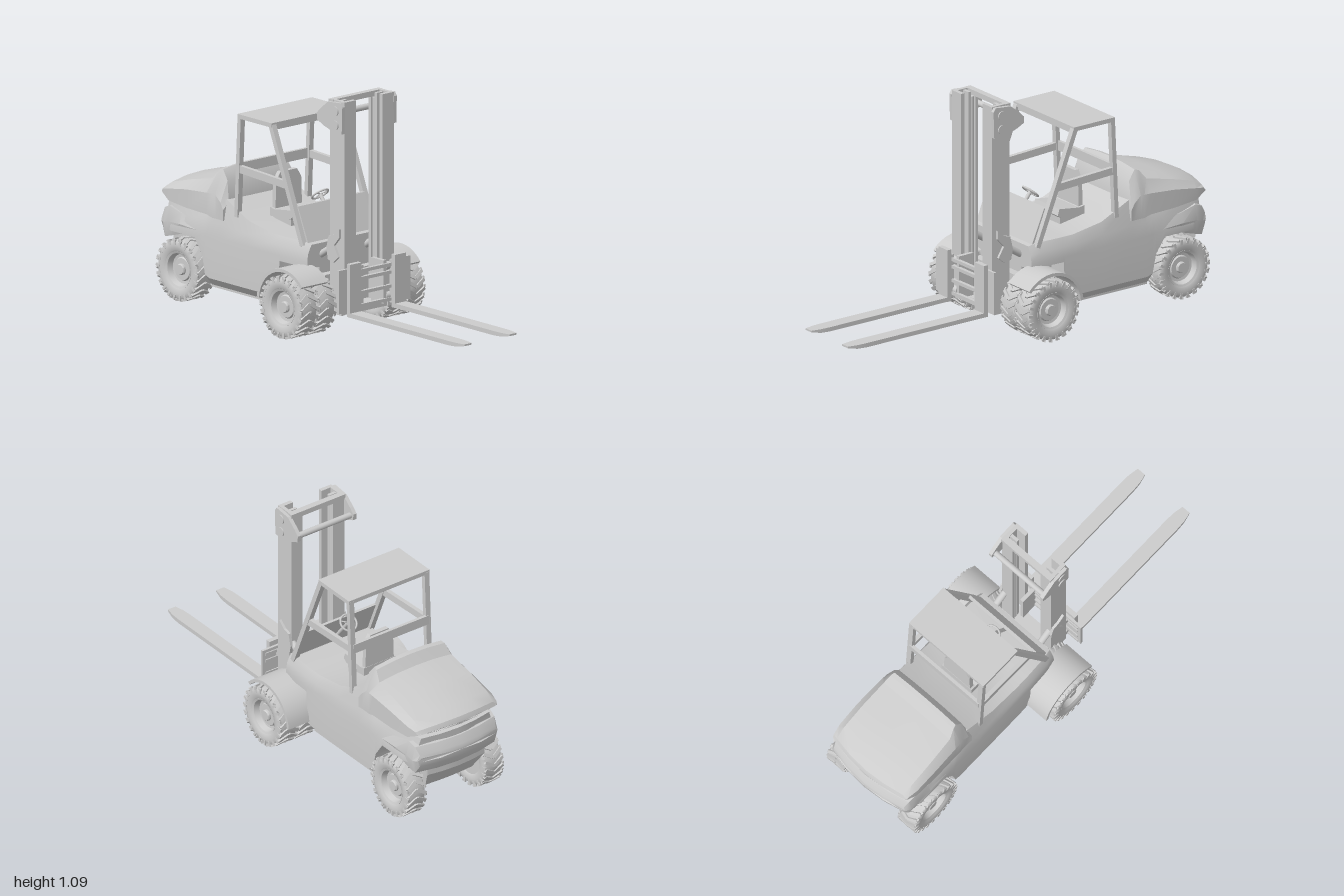
import * as THREE from 'three';
import { mergeGeometries, mergeVertices, toCreasedNormals } from 'three/addons/utils/BufferGeometryUtils.js';

const grey = new THREE.MeshStandardMaterial({ color: 0xcccccc, side: THREE.DoubleSide });

function add(parent, name, geometry) {
  const mesh = new THREE.Mesh(geometry, grey);
  mesh.name = name;
  parent.add(mesh);
  return mesh;
}

// Box given by its limits on each axis
function box(x0, x1, y0, y1, z0, z1) {
  return new THREE.BoxGeometry(x1 - x0, y1 - y0, z1 - z0)
    .translate((x0 + x1) / 2, (y0 + y1) / 2, (z0 + z1) / 2);
}

// Square or round bar between two points
function bar(a, b, w, h = w, round = false) {
  const p = new THREE.Vector3(...a), q = new THREE.Vector3(...b);
  const len = p.distanceTo(q);
  const g = round ? new THREE.CylinderGeometry(w, w, len, 16).rotateX(Math.PI / 2) : new THREE.BoxGeometry(w, h, len);
  const m = new THREE.Matrix4().lookAt(q, p, new THREE.Vector3(0, 1, 0.001));
  return g.applyMatrix4(m).translate(...p.add(q).multiplyScalar(0.5).toArray());
}

// Side profile of [z, y] points, extruded from x0 to x1
function plate(points, x0, x1) {
  const shape = new THREE.Shape(points.map(([z, y]) => new THREE.Vector2(-z, y)));
  return new THREE.ExtrudeGeometry(shape, { depth: x1 - x0, bevelEnabled: false, curveSegments: 20 })
    .rotateY(Math.PI / 2).translate(x0, 0, 0);
}

// Mirrored half-sections lofted from front to back; the tail is bowed outwards
function loft(sections, capY) {
  const rings = sections.map(({ z, half }) => {
    const other = half.slice(1, -1).reverse().map(([x, y]) => [-x, y]);
    return [...half, ...other].map(([x, y]) => {
      const k = THREE.MathUtils.smoothstep(-z, 0.8, 0.95);
      return [x, y, z - 0.04 * k * (1 - Math.min(1, (x / 0.24) ** 2))];
    });
  });
  const n = rings[0].length, pos = rings.flat(2), index = [];
  for (let i = 0; i < rings.length - 1; i++) for (let j = 0; j < n; j++) {
    const a = i * n + j, b = i * n + (j + 1) % n;
    index.push(a, b, a + n, b, b + n, a + n);
  }
  const last = (rings.length - 1) * n, c = rings.length * n;
  pos.push(0, capY[0], rings[0][0][2], 0, capY[1], rings.at(-1)[0][2]);
  for (let j = 0; j < n; j++) {
    const k = (j + 1) % n;
    index.push(c, k, j, c + 1, last + j, last + k);
  }
  const g = new THREE.BufferGeometry();
  g.setAttribute('position', new THREE.Float32BufferAttribute(pos, 3));
  g.setIndex(index);
  return toCreasedNormals(mergeVertices(g, 1e-5), 0.5);
}

// Wheel along x: tyre, chevron lugs, dished rim and hub
function wheel(name, x, z, side) {
  const w = 0.102, r = 0.145, group = new THREE.Group();
  group.name = name;
  const tyre = [[0.083, -0.4], [0.09, -0.46], [0.11, -0.5], [0.128, -0.48], [0.136, -0.4], [0.138, 0],
    [0.136, 0.4], [0.128, 0.48], [0.11, 0.5], [0.09, 0.46], [0.083, 0.4]];
  add(group, 'tyre', new THREE.LatheGeometry(tyre.map(([a, b]) => new THREE.Vector2(a, b * w)), 40).rotateZ(-Math.PI / 2));
  const lugs = [];
  for (let i = 0; i < 22; i++) for (const s of [-1, 1]) {
    lugs.push(new THREE.BoxGeometry(0.056, 0.012, 0.015).rotateY(s * 0.55)
      .translate(s * 0.024, r - 0.007, 0).rotateX((i / 22) * Math.PI * 2));
    lugs.push(new THREE.BoxGeometry(0.008, 0.026, 0.012)
      .translate(s * 0.048, r - 0.018, 0.017).rotateX((i / 22) * Math.PI * 2));
  }
  add(group, 'treadLugs', mergeGeometries(lugs));
  const rim = [[0, 0.34], [0.022, 0.34], [0.026, 0.28], [0.026, 0.2], [0.05, 0.2], [0.055, 0.12], [0.068, 0.14],
    [0.076, 0.4], [0.086, 0.44], [0.086, -0.42], [0, -0.42]];
  const rimGeo = new THREE.LatheGeometry(rim.map(([a, b]) => new THREE.Vector2(a, b * w)), 32).rotateZ(-Math.PI / 2);
  add(group, 'rim', toCreasedNormals(rimGeo, 0.5));
  group.rotation.y = side < 0 ? Math.PI : 0;
  group.position.set(side * x, r, z);
  return group;
}

export function createModel() {
  const model = new THREE.Group();
  model.name = 'forkliftTruck';

  // Main body: z, top, top half-width, shoulder y, shoulder x, side x, sill y, inner x, inner y, bottom
  const body = [
    [0.02, 0.41, 0.2, 0.37, 0.22, 0.225, 0.31, 0.15, 0.3, 0.1],
    [-0.03, 0.42, 0.21, 0.38, 0.23, 0.235, 0.31, 0.15, 0.3, 0.1],
    [-0.15, 0.42, 0.215, 0.38, 0.235, 0.24, 0.31, 0.15, 0.3, 0.09],
    [-0.16, 0.42, 0.215, 0.38, 0.235, 0.24, 0.15, 0.2, 0.1, 0.09],
    [-0.22, 0.42, 0.215, 0.38, 0.235, 0.24, 0.14, 0.2, 0.1, 0.09],
    [-0.38, 0.445, 0.215, 0.39, 0.232, 0.24, 0.14, 0.2, 0.1, 0.09],
    [-0.54, 0.515, 0.21, 0.4, 0.232, 0.24, 0.14, 0.2, 0.1, 0.09],
    [-0.62, 0.47, 0.21, 0.4, 0.232, 0.24, 0.14, 0.2, 0.1, 0.09],
    [-0.65, 0.45, 0.21, 0.4, 0.232, 0.24, 0.15, 0.2, 0.1, 0.09],
    [-0.67, 0.45, 0.21, 0.4, 0.23, 0.24, 0.24, 0.13, 0.23, 0.1],
    [-0.72, 0.45, 0.21, 0.4, 0.23, 0.24, 0.31, 0.12, 0.3, 0.11],
    [-0.88, 0.45, 0.21, 0.4, 0.22, 0.24, 0.31, 0.13, 0.29, 0.15],
    [-0.93, 0.44, 0.19, 0.41, 0.2, 0.215, 0.31, 0.16, 0.3, 0.24],
  ].map(([z, t, tw, sy, sx, x, oy, ix, iy, b]) => ({ z, half: [[0, t], [tw / 2, t], [tw, t], [sx, sy], [x, 0.335],
    [x, oy], [ix, iy], [ix, b], [ix / 2, b], [0, b]] }));
  add(model, 'body', loft(body, [0.36, 0.36]));

  // Engine hood: z, top, crown half-width, side y, side x, bottom
  const hood = [
    [-0.535, 0.515, 0.2, 0.47, 0.235, 0.42], [-0.555, 0.61, 0.19, 0.5, 0.232, 0.42],
    [-0.59, 0.655, 0.185, 0.53, 0.232, 0.42], [-0.61, 0.65, 0.19, 0.53, 0.233, 0.42],
    [-0.645, 0.605, 0.2, 0.53, 0.235, 0.43], [-0.78, 0.575, 0.205, 0.52, 0.238, 0.435],
    [-0.9, 0.54, 0.205, 0.5, 0.235, 0.445], [-0.945, 0.51, 0.2, 0.49, 0.225, 0.47],
    [-0.955, 0.49, 0.2, 0.485, 0.222, 0.478],
  ].map(([z, t, tw, sy, sx, b]) => ({ z, half: [[0, t], [tw / 2, t - 0.003], [tw, t - 0.014], [sx, Math.min(sy, t - 0.015)],
    [sx, b], [sx / 2, b], [0, b]] }));
  add(model, 'engineHood', loft(hood, [0.47, 0.484]));

  // Rear counterweight bumper: z, top, half-width, bottom
  const bumper = [[-0.7, 0.38, 0.238, 0.31], [-0.82, 0.4, 0.242, 0.305], [-0.9, 0.42, 0.24, 0.28],
    [-0.935, 0.405, 0.235, 0.27], [-0.955, 0.37, 0.225, 0.31], [-0.96, 0.355, 0.22, 0.335],
  ].map(([z, t, x, b]) => ({ z, half: [[0, t], [x / 2, t], [x * 0.94, t], [x, (t + b) / 2], [x * 0.94, b], [x / 2, b], [0, b]] }));
  add(model, 'rearBumper', loft(bumper, [0.345, 0.345]));

  // Front axle housing and axles
  add(model, 'axleHousing', box(-0.155, 0.155, 0.09, 0.27, -0.05, 0.06));
  for (const [name, z, x] of [['frontAxle', 0.005, 0.28], ['rearAxle', -0.81, 0.2]])
    add(model, name, bar([-x, 0.145, z], [x, 0.145, z], 0.03, 0, true));

  // Cab: sloped front panel, seat, steering wheel
  const cab = new THREE.Group();
  cab.name = 'cab';
  model.add(cab);
  add(cab, 'frontPanel', plate([[0.0, 0.41], [-0.02, 0.41], [-0.085, 0.57], [-0.07, 0.57]], -0.2, 0.2));
  add(cab, 'seatBase', box(-0.08, 0.08, 0.42, 0.465, -0.37, -0.25));
  add(cab, 'seatCushion', plate([[-0.23, 0.47], [-0.24, 0.5], [-0.35, 0.485], [-0.38, 0.49], [-0.38, 0.45], [-0.25, 0.455]], -0.09, 0.09));
  const back = new THREE.Shape([[-0.08, 0.47], [0.08, 0.47], [0.075, 0.61], [0.05, 0.65], [-0.05, 0.65], [-0.075, 0.61]]
    .map((p) => new THREE.Vector2(...p)));
  add(cab, 'seatBack', new THREE.ExtrudeGeometry(back, { depth: 0.022, bevelEnabled: false }).translate(0, 0, -0.378));
  const steering = new THREE.Group();
  steering.name = 'steeringWheel';
  steering.position.set(0, 0.58, -0.145);
  steering.rotation.x = -2.28;
  add(steering, 'steeringRim', new THREE.TorusGeometry(0.04, 0.005, 8, 28));
  for (let i = 0; i < 3; i++) add(steering, 'spoke', new THREE.BoxGeometry(0.006, 0.04, 0.004).translate(0, 0.02, 0).rotateZ(i * 2.094));
  cab.add(steering);
  add(cab, 'steeringColumn', bar([0, 0.58, -0.145], [0, 0.46, -0.05], 0.009, 0, true));

  // Overhead guard
  const guard = new THREE.Group();
  guard.name = 'overheadGuard';
  model.add(guard);
  add(guard, 'roof', box(-0.225, 0.225, 0.91, 0.93, -0.45, -0.22));
  add(guard, 'rearCrossbar', box(-0.21, 0.21, 0.655, 0.7, -0.465, -0.45));
  add(guard, 'roofLip', box(-0.21, 0.21, 0.895, 0.912, -0.245, -0.225));

  // Lift mast
  const mast = new THREE.Group();
  mast.name = 'mast';
  model.add(mast);
  add(mast, 'upperCrossbar', box(-0.15, 0.15, 1.065, 1.09, 0.08, 0.11));
  add(mast, 'topRod', bar([-0.15, 1, 0.04], [0.15, 1, 0.04], 0.014, 0, true));
  add(mast, 'lowerCrossbar', box(-0.14, 0.14, 0.1, 0.13, 0.08, 0.16));

  // Fork carriage
  const carriage = new THREE.Group();
  carriage.name = 'carriage';
  model.add(carriage);
  for (const y of [0.14, 0.2, 0.265, 0.3]) add(carriage, 'carriageBar', box(-0.2, 0.2, y, y + 0.015, 0.205, 0.222));

  for (const s of [-1, 1]) {
    const span = (a, b) => (s > 0 ? [a, b] : [-b, -a]);

    // Guard pillars and rails
    add(guard, 'frontPillar', bar([s * 0.21, 0.92, -0.232], [s * 0.21, 0.4, -0.02], 0.026, 0.024));
    add(guard, 'rearPillar', bar([s * 0.21, 0.92, -0.44], [s * 0.21, 0.45, -0.462], 0.026, 0.022));
    add(guard, 'sideRail', bar([s * 0.21, 0.66, -0.125], [s * 0.21, 0.675, -0.455], 0.02, 0.034));

    // Mast channels with an open inner side
    add(mast, 'outerRail', box(...span(0.13, 0.148), 0.1, 1.09, 0.085, 0.165));
    add(mast, 'frontFlange', box(...span(0.08, 0.148), 0.13, 1.09, 0.165, 0.185));
    add(mast, 'middleFlange', box(...span(0.09, 0.14), 0.11, 1.085, 0.12, 0.135));
    add(mast, 'rearFlange', box(...span(0.085, 0.148), 0.1, 1.08, 0.085, 0.1));
    add(mast, 'liftCylinder', bar([s * 0.1, 0.12, 0.112], [s * 0.1, 1.06, 0.112], 0.012, 0, true));
    add(mast, 'topBracket', plate([[0.183, 0.945], [0.187, 1.07], [0.175, 1.088], [0.09, 1.08], [0.04, 1.04], [0.015, 1.015],
      [0.017, 0.985], [0.06, 0.965], [0.13, 0.945]], ...span(0.146, 0.164)));
    for (const y of [1.045, 0.98]) add(mast, 'bracketPin', bar([s * 0.15, y, 0.14], [s * 0.169, y, 0.14], 0.022, 0, true));
    add(mast, 'tiltBracket', plate([[0.16, 0.5], [0.125, 0.47], [0.09, 0.46], [0.075, 0.4], [0.085, 0.35], [0.12, 0.34],
      [0.155, 0.37], [0.125, 0.42], [0.16, 0.46]], ...span(0.146, 0.16)));
    add(mast, 'tiltCylinder', bar([s * 0.135, 0.42, 0.1], [s * 0.135, 0.345, -0.02], 0.016, 0, true).translate(0, -0.01, 0));

    // Carriage side plates, rollers and forks
    add(carriage, 'sidePlate', box(...span(0.1, 0.215), 0.13, 0.33, 0.21, 0.222));
    add(carriage, 'innerUpright', box(...span(0.06, 0.078), 0.13, 0.33, 0.13, 0.212));
    for (const y of [0.16, 0.3]) add(carriage, 'roller', bar([s * 0.075, y, 0.2], [s * 0.14, y, 0.2], 0.018, 0, true));
    add(carriage, 'forkUpright', box(...span(0.1, 0.168), 0.11, 0.355, 0.222, 0.245));
    const fork = new THREE.BoxGeometry(0.066, 0.02, 0.76, 1, 1, 16).translate(s * 0.135, 0.12, 0.62);
    const p = fork.attributes.position;
    for (let i = 0; i < p.count; i++) {
      const k = THREE.MathUtils.clamp((p.getZ(i) - 0.94) / 0.06, 0, 1);
      p.setX(i, s * 0.135 + (p.getX(i) - s * 0.135) * (1 - 0.35 * k));
      if (p.getY(i) < 0.12) p.setY(i, 0.11 + 0.012 * k);
    }
    fork.computeVertexNormals();
    add(carriage, 'fork', fork);

    // Front fenders arched over the double wheels
    const arc = (r, from, to) => Array.from({ length: 15 }, (_, i) => {
      const a = from + (to - from) * i / 14;
      return [r * Math.cos(a), 0.145 + r * Math.sin(a)];
    });
    add(model, 'frontFender', toCreasedNormals(plate([...arc(0.175, 0.72, 3.05), ...arc(0.16, 3.05, 0.72)], ...span(0.2, 0.355)), 0.5));

    // Wheels
    model.add(wheel('outerFrontWheel', 0.32, 0.005, s), wheel('innerFrontWheel', 0.213, 0.005, s), wheel('rearWheel', 0.215, -0.81, s));
  }
  return model;
}
